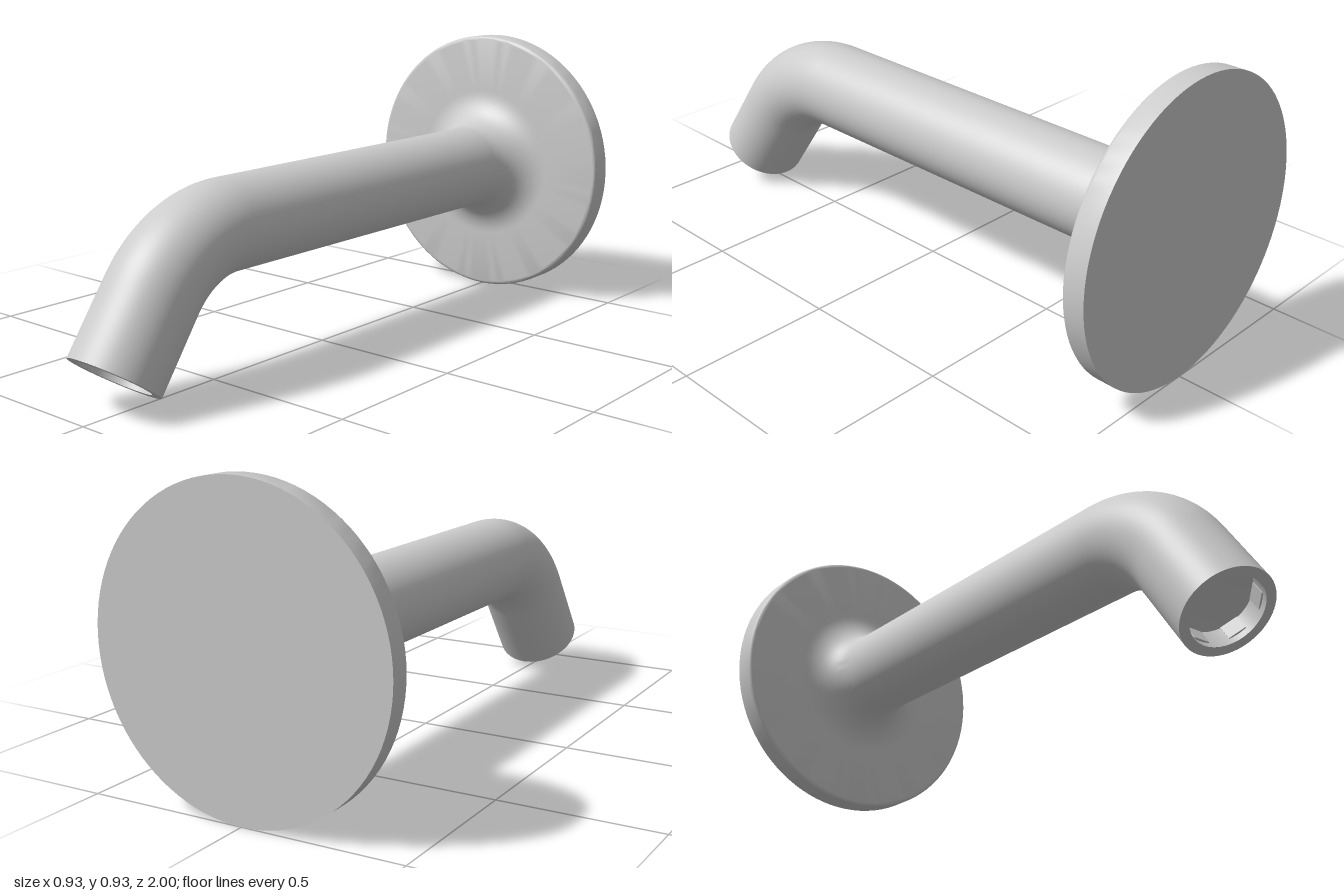
import * as THREE from 'three';
import { toCreasedNormals } from 'three/addons/utils/BufferGeometryUtils.js';

const AXIS_Y = 0.47, PIPE_R = 0.143, BORE_R = 0.113;
const START_Z = -0.95, BEND_Z = 0.445, BEND_R = 0.36, END_LEN = 0.253;
const BEND = THREE.MathUtils.degToRad(55);

// Centre line: straight run, downward bend, short straight outlet
class SpoutPath extends THREE.Curve {
  getPoint(t, target = new THREE.Vector3()) {
    const run = BEND_Z - START_Z, arc = BEND_R * BEND;
    const s = t * (run + arc + END_LEN);
    if (s < run) return target.set(0, AXIS_Y, START_Z + s);
    const a = Math.min((s - run) / BEND_R, BEND);
    const rest = Math.max(s - run - arc, 0);
    return target.set(0,
      AXIS_Y - BEND_R * (1 - Math.cos(a)) - rest * Math.sin(a),
      BEND_Z + BEND_R * Math.sin(a) + rest * Math.cos(a));
  }
}

// Quarter-round points around (cx, cy), from angle a0 to a1
function arcPoints(cx, cy, rx, ry, a0, a1, n) {
  return Array.from({ length: n + 1 }, (_, i) => {
    const a = a0 + (a1 - a0) * i / n;
    return new THREE.Vector2(cx + rx * Math.cos(a), cy + ry * Math.sin(a));
  });
}

function lathe(points, segments) {
  return toCreasedNormals(new THREE.LatheGeometry(points, segments), 0.6);
}

export function createModel() {
  const model = new THREE.Group();
  model.name = 'wallSpout';
  const material = new THREE.MeshStandardMaterial({ color: 0xcccccc });
  const add = (parent, name, geometry) => {
    const mesh = new THREE.Mesh(geometry, material);
    mesh.name = name;
    parent.add(mesh);
    return mesh;
  };

  // Round wall plate with softened rim, flaring into the pipe
  const plate = add(model, 'wallPlate', lathe([
    new THREE.Vector2(0, -1),
    new THREE.Vector2(0.467, -1),
    ...arcPoints(0.452, -0.94, 0.015, 0.015, 0, Math.PI / 2, 5),
    ...arcPoints(0.268, -0.8, 0.125, 0.123, -Math.PI / 2, -Math.PI, 12),
  ], 96));
  plate.rotation.x = Math.PI / 2;
  plate.position.y = AXIS_Y;

  // Bent pipe
  add(model, 'pipe', new THREE.TubeGeometry(new SpoutPath(), 120, PIPE_R, 64));

  // Outlet, with local y pointing out of the pipe
  const outlet = new THREE.Group();
  outlet.name = 'outlet';
  outlet.position.copy(new SpoutPath().getPoint(1));
  outlet.rotation.x = Math.PI / 2 + BEND;
  model.add(outlet);

  // Flat rim, bore wall and shallow conical floor
  add(outlet, 'outletBore', lathe([
    new THREE.Vector2(PIPE_R, 0),
    new THREE.Vector2(BORE_R, 0),
    new THREE.Vector2(BORE_R, -0.07),
    new THREE.Vector2(0, -0.08),
  ], 64));

  // Small grip ribs around the bore
  for (let i = 0; i < 6; i++) {
    const a = i * Math.PI / 3;
    const rib = add(outlet, 'boreRib', new THREE.BoxGeometry(0.055, 0.05, 0.012));
    rib.position.set(Math.sin(a) * BORE_R, -0.045, Math.cos(a) * BORE_R);
    rib.rotation.y = a;
  }

  return model;
}
